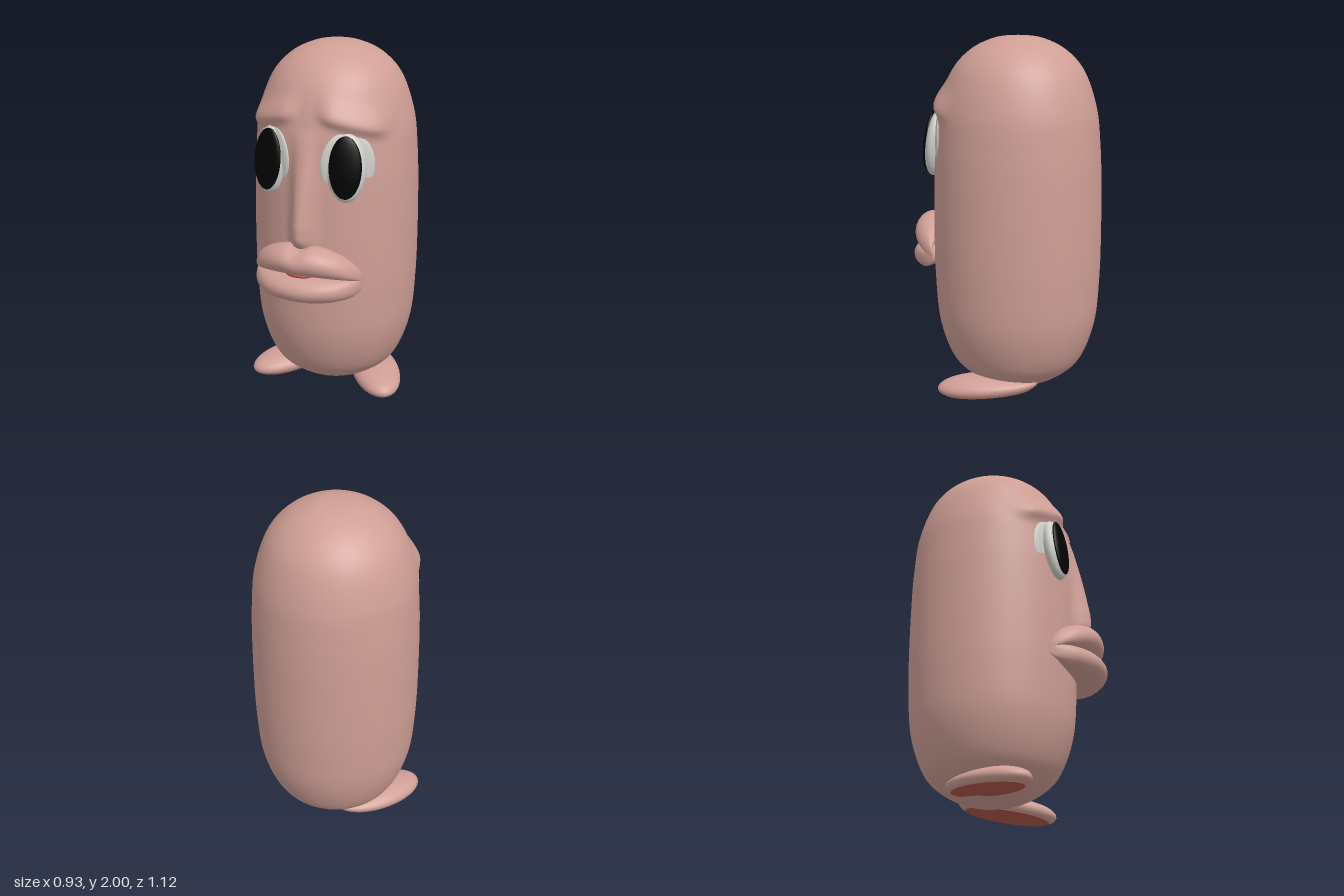
import * as THREE from 'three';
import { mergeVertices } from 'three/addons/utils/BufferGeometryUtils.js';

const material = (name, color, side = THREE.FrontSide) => {
  const m = new THREE.MeshStandardMaterial({ color, side });
  m.name = name;
  return m;
};

const { smoothstep, clamp } = THREE.MathUtils;
const bump = (d, w, power = 2) => Math.exp(-(Math.abs(d / w) ** power));

// Capsule body whose front is pushed out into a long nose and two sad brows
function bodyGeometry() {
  const profile = [
    [0, 0.022], [0.15, 0.033], [0.285, 0.1], [0.377, 0.2], [0.445, 0.4], [0.467, 0.65], [0.472, 0.9],
    [0.469, 1.2], [0.46, 1.4], [0.438, 1.6], [0.37, 1.8], [0.265, 1.92], [0.13, 1.985], [0, 2],
  ].map(([r, y]) => new THREE.Vector2(r, y));
  const points = new THREE.SplineCurve(profile).getSpacedPoints(160);
  points[0].x = points[160].x = 0;
  let geo = new THREE.LatheGeometry(points, 160, Math.PI);
  geo.deleteAttribute('uv');
  geo.deleteAttribute('normal');
  geo = mergeVertices(geo, 1e-5);
  const p = geo.attributes.position;
  for (let i = 0; i < p.count; i++) {
    let x = p.getX(i), z = p.getZ(i);
    const y = p.getY(i);
    if (z > 0) {
      const ax = Math.abs(x), r = Math.hypot(x, z) || 1;
      // brow ridge: high at the nose, sloping down outwards, sharper below
      const d = y - (1.67 - 0.3 * (ax - 0.1));
      const brow = 0.037 * bump(d, d > 0 ? 0.08 : 0.04) * smoothstep(ax, 0.03, 0.14) * (1 - smoothstep(ax, 0.32, 0.42));
      // nose ridge: grows towards its tip, then ends behind the lips
      const length = clamp((1.6 - y) / 0.52, 0, 1) ** 0.9 * smoothstep(y, 0.88, 1.02);
      const nose = 0.092 * length * bump(x, 0.062, 2.8);
      x += (x / r) * brow;
      z += (z / r) * brow + nose;
    }
    p.setXYZ(i, x * 0.98, y, z - 0.085);
  }
  geo.computeVertexNormals();
  return geo;
}

// Lip lofted from elliptical sections along a half-round path, tapering at the corners
function lipGeometry(topAt, bottomAt, reach) {
  const N = 48, M = 24, pos = [], index = [];
  for (let i = 0; i <= N; i++) {
    const a = (i / N - 0.5) * Math.PI * 0.998;
    const x = 0.31 * Math.sin(a), c = Math.cos(a);
    const top = topAt(c, x), bottom = bottomAt(c, x);
    for (let j = 0; j < M; j++) {
      const v = (j / M) * Math.PI * 2;
      pos.push(x, (top + bottom) / 2 + ((top - bottom) / 2) * Math.cos(v),
        0.285 + c * (reach - 0.11 + 0.11 * Math.sin(v)));
      if (i < N) {
        const k = i * M + j, n = i * M + ((j + 1) % M);
        index.push(k, n, k + M, n, n + M, k + M);
      }
    }
  }
  const geo = new THREE.BufferGeometry();
  geo.setAttribute('position', new THREE.Float32BufferAttribute(pos, 3));
  geo.setIndex(index);
  geo.computeVertexNormals();
  return geo;
}

// Ellipsoid cut flat underneath
function footGeometry() {
  const geo = new THREE.SphereGeometry(1, 40, 28);
  const p = geo.attributes.position;
  for (let i = 0; i < p.count; i++) {
    const z = p.getZ(i), y = Math.max(p.getY(i), -0.5);
    const thick = y > 0 ? 0.9 + 0.25 * z : 1; // thinner heel
    p.setXYZ(i, p.getX(i) * 0.138, y * thick * 0.07, z * 0.284);
  }
  geo.computeVertexNormals();
  return geo;
}

export function createModel() {
  const model = new THREE.Group();
  const skin = material('skin pink', 0xcf9f96);
  const lipSkin = material('lip pink', 0xcf9f96, THREE.DoubleSide);
  const white = material('eye white', 0xd0cfca);
  const black = material('pupil black', 0x030303);
  const red = material('dark red', 0xb2584b);

  const add = (name, geo, mat, parent = model) => {
    const mesh = new THREE.Mesh(geo, mat);
    mesh.name = name;
    parent.add(mesh);
    return mesh;
  };
  const ball = (name, mat, radii, at, parent) => {
    const mesh = add(name, new THREE.SphereGeometry(1, 40, 28), mat, parent);
    mesh.scale.set(...radii);
    mesh.position.set(...at);
    return mesh;
  };

  add('body', bodyGeometry(), skin);

  // Mouth
  add('upperLip', lipGeometry(
    (c, x) => 0.78 + 0.205 * c - 0.024 * bump(x, 0.05),
    (c) => 0.765 + 0.052 * c, 0.26), lipSkin);
  add('lowerLip', lipGeometry(
    (c) => 0.775 + 0.038 * c,
    (c) => 0.765 - 0.098 * c ** 0.45, 0.274), lipSkin);
  ball('mouthInside', red, [0.08, 0.02, 0.045], [0, 0.818, 0.445]);

  const foot = footGeometry();
  for (const s of [1, -1]) {
    const side = s > 0 ? 'left' : 'right';

    // Eye: pale patch on the skin, bulging eyeball, pupil
    ball(side + 'EyePatch', white, [0.148, 0.185, 0.025], [s * 0.216, 1.408, 0.293]).rotation.y = s * 0.55;
    const eye = new THREE.Group();
    eye.name = side + 'Eye';
    eye.position.set(s * 0.216, 1.403, 0.315);
    eye.rotation.set(-0.12, s * 0.25, 0, 'YXZ');
    model.add(eye);
    ball(side + 'Eyeball', white, [0.107, 0.187, 0.055], [0, 0, 0], eye);
    ball(side + 'Pupil', black, [0.088, 0.168, 0.026], [0, 0.004, 0.036], eye);

    // Foot, splayed outwards with the heel slightly raised
    const group = new THREE.Group();
    group.name = side + 'Foot';
    group.position.set(s * 0.261, 0.059, -0.05);
    group.rotation.set(0.08, s * 0.55, 0, 'YXZ');
    model.add(group);
    add(side + 'FootTop', foot, skin, group);
    const sole = add(side + 'Sole', new THREE.CylinderGeometry(1, 1, 0.006, 40), red, group);
    sole.scale.set(0.117, 1, 0.243);
    sole.position.y = -0.035;
  }
  return model;
}
